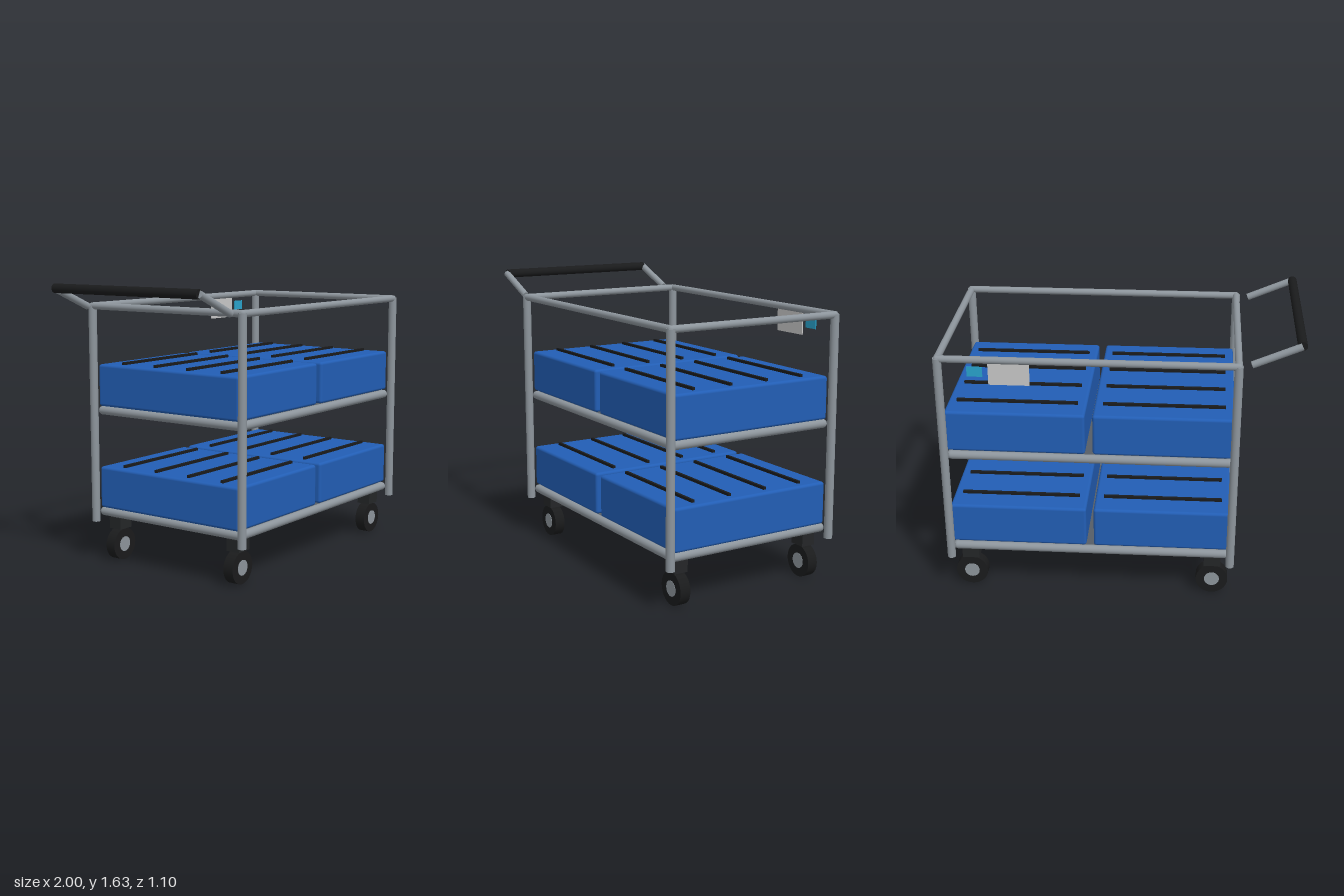
import * as THREE from 'three';
import { RoundedBoxGeometry } from 'three/addons/geometries/RoundedBoxGeometry.js';

const mat = (name, color) => {
  const m = new THREE.MeshStandardMaterial({ color });
  m.name = name;
  return m;
};

export function createModel() {
  const steel = mat('steel tube', 0x8d959c);
  const deckGrey = mat('deck grey', 0x565e66);
  const blue = mat('crate blue', 0x225eb5);
  const black = mat('black rubber', 0x1a1b1c);
  const bracket = mat('bracket black', 0x242628);
  const plateGrey = mat('label grey', 0xc8c8c8);
  const cyan = mat('label cyan', 0x29a3cc);

  const model = new THREE.Group();
  model.name = 'trolley';

  const add = (name, geo, material, x = 0, y = 0, z = 0, parent = model) => {
    const mesh = new THREE.Mesh(geo, material);
    mesh.name = name;
    mesh.position.set(x, y, z);
    parent.add(mesh);
    return mesh;
  };

  // Straight round tube between two points
  const tube = (name, a, b, r, material = steel, parent = model) => {
    const p = new THREE.Vector3(...a), q = new THREE.Vector3(...b);
    const d = q.clone().sub(p);
    const mesh = add(name, new THREE.CylinderGeometry(r, r, d.length(), 20), material, 0, 0, 0, parent);
    mesh.position.copy(p).add(q).multiplyScalar(0.5);
    mesh.quaternion.setFromUnitVectors(new THREE.Vector3(0, 1, 0), d.normalize());
    return mesh;
  };

  // Rectangular ring of tubes with ball corners
  const CX = 0.166;
  const ring = (name, hx, hz, y, r) => {
    const g = new THREE.Group();
    g.name = name;
    model.add(g);
    for (const s of [-1, 1]) {
      tube('longRail', [CX - hx, y, s * hz], [CX + hx, y, s * hz], r, steel, g);
      tube('endRail', [CX + s * hx, y, -hz], [CX + s * hx, y, hz], r, steel, g);
      for (const t of [-1, 1])
        add('cornerJoint', new THREE.SphereGeometry(r, 16, 10), steel, CX + s * hx, y, t * hz, g);
    }
  };

  // Frame: corner posts and top rails
  const HX = 0.811, HZ = 0.527;
  for (const s of [-1, 1])
    for (const t of [-1, 1])
      tube('cornerPost', [CX + s * HX, 0.232, t * HZ], [CX + s * HX, 1.498, t * HZ], 0.024);
  ring('topRail', HX, HZ, 1.494, 0.02);

  // Two shelves, each with two strapped crates
  for (const y of [0.291, 0.89]) {
    ring('shelfRail', 0.777, 0.49, y, 0.025);
    add('shelfDeck', new THREE.BoxGeometry(1.555, 0.036, 0.98), deckGrey, CX, y + 0.004, 0);
    for (const s of [-1, 1]) {
      const crate = new THREE.Group();
      crate.name = 'crate';
      crate.position.set(CX + s * 0.413, y + 0.027, 0);
      model.add(crate);
      add('crateBody', new RoundedBoxGeometry(0.784, 0.243, 0.994, 3, 0.016), blue, 0, 0.1215, 0, crate);
      for (const z of [-0.351, -0.117, 0.117, 0.351])
        add('crateStrip', new THREE.BoxGeometry(0.685, 0.02, 0.017), black, 0, 0.248, z, crate);
    }
  }

  // Push handle: two sloping arms and a dark grip
  for (const s of [-1, 1])
    tube('handleArm', [-0.715, 1.497, s * 0.5], [-0.975, 1.609, s * 0.5], 0.02);
  tube('handleGrip', [-0.975, 1.609, -0.498], [-0.975, 1.609, 0.498], 0.026, black);

  // Casters
  for (const s of [-1, 1])
    for (const t of [-1, 1]) {
      const caster = new THREE.Group();
      caster.name = 'caster';
      caster.position.set(CX + s * 0.711, 0, t * 0.427);
      model.add(caster);
      add('casterBracket', new THREE.BoxGeometry(0.098, 0.068, 0.084), bracket, 0, 0.222, 0, caster);
      tube('casterStem', [0, 0.25, 0], [0, 0.285, 0], 0.03, bracket, caster);
      add('wheel', new THREE.CylinderGeometry(0.093, 0.093, 0.062, 28), black, 0, 0.093, 0, caster).rotation.x = Math.PI / 2;
      add('wheelHub', new THREE.CylinderGeometry(0.044, 0.044, 0.067, 24), steel, 0, 0.093, 0, caster).rotation.x = Math.PI / 2;
    }

  // Blank plates hanging below the back top rail
  add('greyPlate', new THREE.BoxGeometry(0.225, 0.135, 0.006), plateGrey, 0.59, 1.4175, -HZ);
  add('cyanPlate', new THREE.BoxGeometry(0.085, 0.057, 0.006), cyan, 0.776, 1.424, -HZ);

  return model;
}
